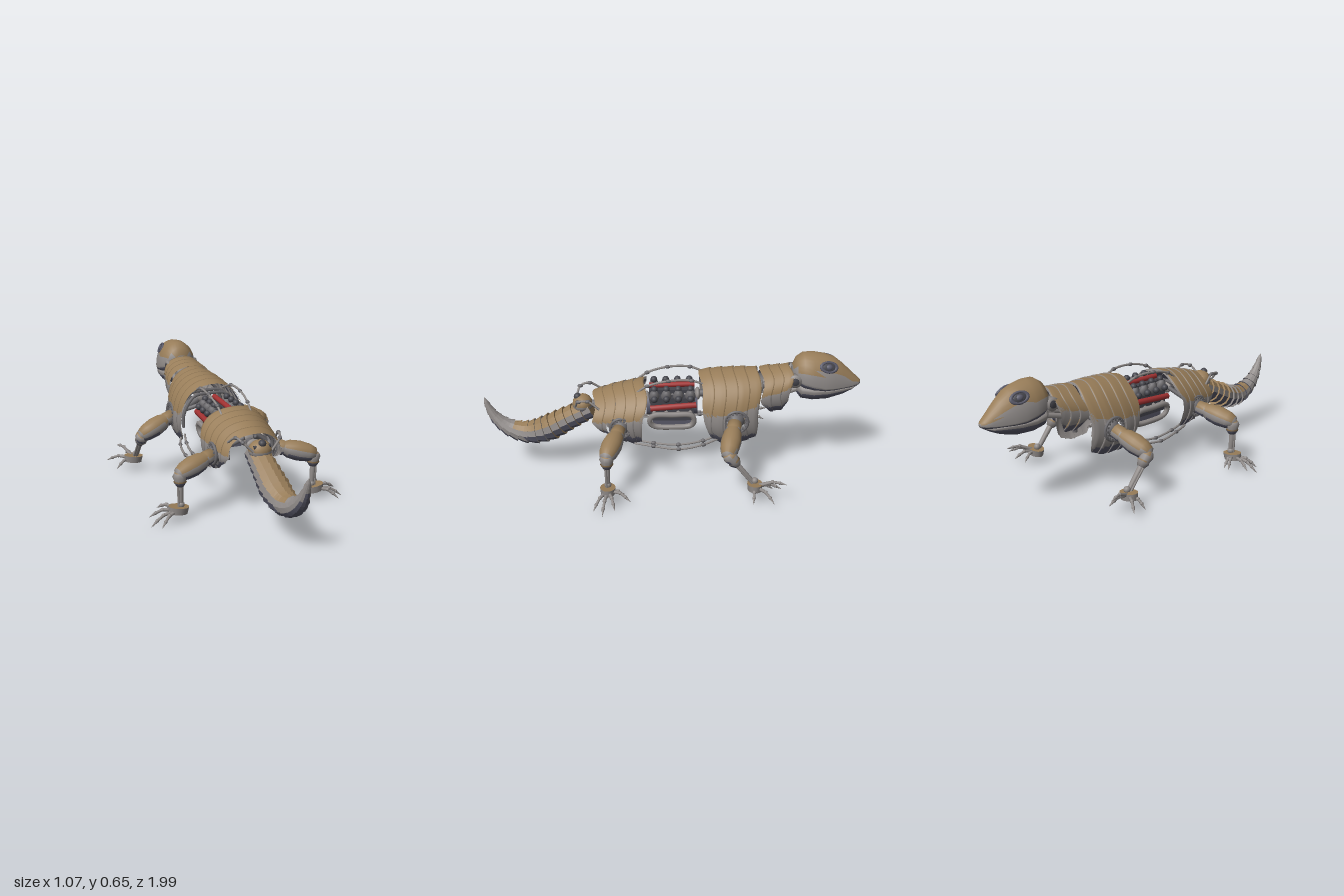
import * as THREE from 'three';
import { mergeGeometries } from 'three/addons/utils/BufferGeometryUtils.js';

const mat = (name, color, side = THREE.FrontSide) => {
  const m = new THREE.MeshStandardMaterial({ color, side });
  m.name = name;
  return m;
};
const V = (x, y, z) => new THREE.Vector3(x, y, z);

export function createModel() {
  const tan = mat('tan shell', 0x987d59);
  const grey = mat('grey metal', 0x908b89, THREE.DoubleSide);
  const slate = mat('slate underside', 0x5a5a6a);
  const dark = mat('dark metal', 0x45454c);
  const steel = mat('mid steel', 0x6c6a6d);
  const red = mat('red pipe', 0xa23232);
  const root = new THREE.Group();
  root.name = 'mechanicalLizard';

  const add = (parent, name, geo, material) => {
    const m = new THREE.Mesh(geo, material);
    m.name = name;
    parent.add(m);
    return m;
  };
  // Upward faces become tan, sides grey, undersides slate
  const addPainted = (parent, name, geo, limit = 0.15, under = -0.4) => {
    const g = geo.index ? geo.toNonIndexed() : geo;
    const p = g.attributes.position, n = g.attributes.normal;
    const pos = [[], [], []], nor = [[], [], []];
    const a = V(), b = V(), c = V();
    for (let i = 0; i < p.count; i += 3) {
      a.fromBufferAttribute(p, i); b.fromBufferAttribute(p, i + 1); c.fromBufferAttribute(p, i + 2);
      const y = b.sub(a).cross(c.sub(a)).normalize().y;
      const k = y > limit ? 0 : y > under ? 1 : 2;
      for (let j = i; j < i + 3; j++) {
        pos[k].push(p.getX(j), p.getY(j), p.getZ(j));
        nor[k].push(n.getX(j), n.getY(j), n.getZ(j));
      }
    }
    const out = new THREE.BufferGeometry();
    out.setAttribute('position', new THREE.Float32BufferAttribute(pos.flat(), 3));
    out.setAttribute('normal', new THREE.Float32BufferAttribute(nor.flat(), 3));
    let start = 0;
    pos.forEach((list, k) => {
      out.addGroup(start, list.length / 3, k);
      start += list.length / 3;
    });
    return add(parent, name, out, [tan, grey, slate]);
  };
  // Skin over rows of points, running towards the tail
  const skin = (rows, { closed = false, flip = false, skip = null, flat = false } = {}) => {
    const n = rows[0].length, pos = [], idx = [];
    rows.forEach(r => r.forEach(p => pos.push(p.x, p.y, p.z)));
    const tri = (a, b, c) => idx.push(a, flip ? c : b, flip ? b : c);
    for (let i = 0; i < rows.length - 1; i++) for (let j = 0; j < (closed ? n : n - 1); j++) {
      const k = (j + 1) % n;
      if (skip && skip(rows[i][j].clone().add(rows[i + 1][k]).multiplyScalar(0.5))) continue;
      tri(i * n + j, i * n + n + j, i * n + k);
      tri(i * n + k, i * n + n + j, i * n + n + k);
    }
    if (closed) [0, rows.length - 1].forEach(i => {
      const c = rows[i].reduce((s, p) => s.add(p), V()).divideScalar(n), m = pos.length / 3;
      pos.push(c.x, c.y, c.z);
      for (let j = 0; j < n; j++) {
        const k = (j + 1) % n;
        i ? tri(m, i * n + k, i * n + j) : tri(m, i * n + j, i * n + k);
      }
    });
    let g = new THREE.BufferGeometry();
    g.setAttribute('position', new THREE.Float32BufferAttribute(pos, 3));
    g.setIndex(idx);
    if (flat) g = g.toNonIndexed();
    g.computeVertexNormals();
    return g;
  };
  // Turned shape between two points, profile of [radius, fraction]
  const turned = (a, b, profile, seg = 12) => {
    const d = b.clone().sub(a), len = d.length();
    const g = new THREE.LatheGeometry(profile.map(([r, t]) => new THREE.Vector2(r, t * len)), seg);
    g.applyQuaternion(new THREE.Quaternion().setFromUnitVectors(V(0, 1, 0), d.normalize()));
    return g.translate(a.x, a.y, a.z);
  };
  const rod = (a, b, r, r2 = r, seg = 8) => turned(a, b, [[0, 0], [r, 0], [r2, 1], [0, 1]], seg);
  const ball = (p, r, sx = 1, sy = 1, sz = 1) => new THREE.SphereGeometry(r, 14, 10).scale(sx, sy, sz).translate(p.x, p.y, p.z);
  const tube = (pts, r, n = 24, closed = false) => new THREE.TubeGeometry(new THREE.CatmullRomCurve3(pts, closed), n, r, 6, closed);
  const box = (w, h, d, x, y, z) => new THREE.BoxGeometry(w, h, d).translate(x, y, z);
  const merged = (parent, name, list, m) => add(parent, name, mergeGeometries(list.map(g => g.index ? g.toNonIndexed() : g)), m);

  // Banded arched shells; rows: z, half width, centre height, rise, drop, end angle
  const shell = (name, rows, bands, hole) => {
    const group = new THREE.Group();
    group.name = name;
    root.add(group);
    const z0 = rows[0][0], z1 = rows[rows.length - 1][0];
    const at = z => {
      let i = 0;
      while (i < rows.length - 2 && z > rows[i + 1][0]) i++;
      const t = (z - rows[i][0]) / (rows[i + 1][0] - rows[i][0]);
      return rows[i].map((v, k) => v + (rows[i + 1][k] - v) * t);
    };
    const skip = hole && (p => Math.hypot(p.y - hole[0], p.z - hole[1]) < hole[2] && Math.abs(p.x) > 0.08);
    const outer = [], inner = [];
    for (let b = 0; b < bands; b++) for (const off of [0, -0.007]) {
      const grid = [];
      // The first row is a lip that closes the step between bands
      for (let i = -1; i <= 8; i++) {
        const t = Math.max(0, i / 8), z = z0 + (z1 - z0) * (b + t) / bands, [, w, c, h, d, A] = at(z), row = [];
        const o = off + (i < 0 ? -0.003 : 0.005 * (1 - t) - 0.001);
        for (let j = 0; j <= 64; j++) {
          const a = (j / 32 - 1) * A, ca = Math.cos(a);
          row.push(V((w + o) * Math.sin(a), c + ((ca > 0 ? h : d) + o) * ca, z + 0.009 * Math.cos(4 * a) - 0.004));
        }
        grid.push(row);
      }
      (off ? inner : outer).push(skin(grid, { flip: off < 0, skip }));
    }
    addPainted(group, name + 'Plates', mergeGeometries(outer), 0.18);
    addPainted(group, name + 'Lining', mergeGeometries(inner), 2);
  };
  shell('neckShell', [[-0.62, 0.112, 0.48, 0.1, 0.09, 1.5], [-0.6, 0.118, 0.475, 0.105, 0.11, 2],
    [-0.56, 0.126, 0.46, 0.115, 0.13, 2.4], [-0.5, 0.136, 0.45, 0.12, 0.125, 2.35], [-0.465, 0.142, 0.44, 0.125, 0.1, 1.75]], 3);
  shell('chestShell', [[-0.45, 0.15, 0.36, 0.205, 0.18, 1.8], [-0.43, 0.162, 0.35, 0.215, 0.19, 2.25],
    [-0.35, 0.182, 0.34, 0.225, 0.2, 2.35], [-0.24, 0.188, 0.335, 0.225, 0.2, 2.3],
    [-0.19, 0.185, 0.34, 0.215, 0.18, 2.1], [-0.145, 0.182, 0.36, 0.185, 0.15, 1.05]], 5, [0.34, -0.33, 0.06]);
  shell('hipShell', [[0.145, 0.187, 0.35, 0.15, 0.17, 1.2], [0.17, 0.187, 0.34, 0.16, 0.2, 2.2],
    [0.22, 0.183, 0.33, 0.16, 0.19, 2.3], [0.3, 0.173, 0.32, 0.155, 0.15, 2.2],
    [0.38, 0.157, 0.32, 0.13, 0.1, 1.9], [0.415, 0.147, 0.325, 0.115, 0.08, 1.5]], 5, [0.31, 0.29, 0.055]);

  // Head: z, half width, top, middle, bottom
  const ovals = (rows, n = 32) => rows.map(([z, w, top, mid, bot]) => Array.from({ length: n }, (_, j) => {
    const a = j / n * Math.PI * 2, c = Math.cos(a);
    return V(w * Math.sin(a), mid + (c > 0 ? top - mid : mid - bot) * c, z);
  }));
  addPainted(root, 'skull', skin(ovals([[-0.998, 0.012, 0.495, 0.485, 0.475], [-0.985, 0.03, 0.507, 0.483, 0.468],
    [-0.95, 0.047, 0.54, 0.48, 0.46], [-0.9, 0.067, 0.588, 0.48, 0.455], [-0.85, 0.086, 0.628, 0.482, 0.45],
    [-0.8, 0.1, 0.645, 0.488, 0.445], [-0.74, 0.105, 0.655, 0.505, 0.445], [-0.69, 0.1, 0.652, 0.52, 0.46],
    [-0.655, 0.08, 0.628, 0.53, 0.48], [-0.635, 0.045, 0.585, 0.54, 0.5]]), { closed: true }), 0.32, -0.25);
  addPainted(root, 'jaw', skin(ovals([[-0.985, 0.018, 0.478, 0.472, 0.466], [-0.95, 0.042, 0.48, 0.462, 0.445],
    [-0.9, 0.065, 0.48, 0.465, 0.42], [-0.82, 0.09, 0.48, 0.465, 0.398], [-0.74, 0.1, 0.5, 0.465, 0.395],
    [-0.68, 0.092, 0.51, 0.47, 0.405], [-0.655, 0.07, 0.51, 0.475, 0.44]]), { closed: true }), 2, -0.3);

  // Tail of stacked tapering collars, grey towards the tip
  const path = new THREE.CatmullRomCurve3([V(0, 0.35, 0.43), V(0, 0.29, 0.55), V(0, 0.225, 0.68), V(0, 0.208, 0.78),
    V(0, 0.235, 0.87), V(0, 0.29, 0.935), V(0, 0.355, 0.972), V(0, 0.415, 0.992)]);
  const tailR = t => t < 0.35 ? 0.056 + 0.05 * t : 0.0735 - 0.066 * Math.pow((t - 0.35) / 0.65, 1.35);
  const ring = (t, k) => {
    const p = path.getPointAt(t), T = path.getTangentAt(t), X = V(1, 0, 0), U = T.clone().cross(X);
    return Array.from({ length: 12 }, (_, j) => {
      const a = j / 6 * Math.PI, r = tailR(t) * k;
      return p.clone().addScaledVector(X, r * Math.sin(a)).addScaledVector(U, r * 0.92 * Math.cos(a));
    });
  };
  const collars = Array.from({ length: 15 }, (_, i) => skin([ring(i / 15, 1.11), ring((i + 0.5) / 15, 1.03),
    ring(Math.min(1, (i + 1.1) / 15), i > 13 ? 0.3 : 0.93)], { closed: true, flat: true }));
  addPainted(root, 'tailCollars', mergeGeometries(collars.slice(0, 10)), 0.4, -0.25);
  addPainted(root, 'tailTip', mergeGeometries(collars.slice(10)), 2, -0.2);
  addPainted(root, 'tailRootKnob', ball(V(0, 0.375, 0.475), 0.06, 1, 0.85, 0.9));
  merged(root, 'tailRootBolt', [ball(V(0, 0.415, 0.5), 0.02), rod(V(-0.045, 0.4, 0.5), V(0.045, 0.4, 0.5), 0.009)], dark);

  // Spine with vertebrae
  const spine = new THREE.CatmullRomCurve3([V(0, 0.37, 0.5), V(0, 0.38, 0.3), V(0, 0.41, 0.1), V(0, 0.43, -0.2), V(0, 0.46, -0.45), V(0, 0.52, -0.7)]);
  merged(root, 'spine', [new THREE.TubeGeometry(spine, 30, 0.02, 8)], steel);
  merged(root, 'vertebrae', Array.from({ length: 18 }, (_, i) => ball(spine.getPointAt((i + 0.5) / 18), 0.032, 1.3, 1, 0.5)), grey);

  // Engine block
  const engine = new THREE.Group();
  engine.name = 'engine';
  root.add(engine);
  merged(engine, 'block', [box(0.16, 0.13, 0.23, 0, 0.37, 0), box(0.06, 0.03, 0.24, 0, 0.445, 0)], dark);
  merged(engine, 'sump', [box(0.13, 0.06, 0.2, 0, 0.29, 0), rod(V(0, 0.37, -0.135), V(0, 0.37, 0.135), 0.06, 0.06, 16)], slate);
  const heads = [], caps = [], pipes = [], rails = [rod(V(0, 0.475, 0.12), V(0, 0.48, -0.12), 0.014, 0.014, 12)];
  for (const s of [-1, 1]) {
    rails.push(rod(V(s * 0.1, 0.388, 0.115), V(s * 0.1, 0.405, -0.125), 0.016));
    for (let i = 0; i < 4; i++) {
      const z = -0.095 + i * 0.063;
      heads.push(turned(V(s * 0.04, 0.4, z), V(s * 0.085, 0.475, z), [[0, 0], [0.026, 0], [0.028, 0.6], [0.018, 0.95], [0, 1]]));
      caps.push(ball(V(s * 0.062, 0.48, z), 0.018), ball(V(s * 0.1, 0.44, z), 0.018));
      pipes.push(rod(V(s * 0.07, 0.355, z), V(s * 0.1, 0.345, z), 0.012));
    }
    pipes.push(tube([V(s * 0.1, 0.345, -0.1), V(s * 0.103, 0.35, 0), V(s * 0.1, 0.345, 0.1), V(s * 0.095, 0.315, 0.12),
      V(s * 0.088, 0.28, 0.1), V(s * 0.088, 0.27, 0), V(s * 0.088, 0.28, -0.1), V(s * 0.095, 0.315, -0.115)], 0.015, 40, true));
  }
  merged(engine, 'cylinders', heads, steel);
  merged(engine, 'valveCaps', caps, dark);
  merged(engine, 'exhaustPipes', pipes, grey);
  merged(engine, 'redRails', rails, red);

  // Parts that repeat on both sides
  for (const s of [1, -1]) {
    const side = new THREE.Group();
    side.name = s > 0 ? 'leftSide' : 'rightSide';
    side.scale.x = s;
    root.add(side);

    // Eye set in an almond rim
    const tilt = g => g.rotateX(0.15).rotateY(Math.PI / 2 + 0.22).rotateZ(0.65).translate(0.065, 0.595, -0.815);
    add(side, 'eyeRim', tilt(new THREE.TorusGeometry(0.031, 0.008, 8, 20).scale(1.35, 0.85, 1)), slate);
    add(side, 'eyeSocket', tilt(new THREE.SphereGeometry(0.03, 16, 10).scale(1.3, 0.8, 0.3)), dark);
    add(side, 'eyeball', tilt(new THREE.SphereGeometry(0.019, 14, 10).scale(1.1, 0.9, 0.75)), slate);
    // Neck joint
    merged(side, 'neckJoint', [rod(V(0.055, 0.525, -0.64), V(0.09, 0.525, -0.64), 0.035, 0.035, 16),
      rod(V(0.06, 0.52, -0.64), V(0.08, 0.45, -0.5), 0.014), rod(V(0.03, 0.46, -0.66), V(0.05, 0.41, -0.48), 0.014)], grey);
    add(side, 'neckJointBolt', rod(V(0.088, 0.525, -0.64), V(0.096, 0.525, -0.64), 0.02, 0.02, 12), dark);

    // Cables with bead connectors
    const cables = [
      [V(0.08, 0.46, 0.2), V(0.085, 0.51, 0.13), V(0.09, 0.54, 0.02), V(0.088, 0.54, -0.1), V(0.08, 0.5, -0.2)],
      [V(0.15, 0.21, 0.2), V(0.185, 0.21, 0.1), V(0.203, 0.2, -0.03), V(0.185, 0.215, -0.16), V(0.15, 0.23, -0.24)],
      [V(0.13, 0.22, 0.2), V(0.15, 0.21, 0.1), V(0.163, 0.205, -0.03), V(0.15, 0.22, -0.16), V(0.13, 0.24, -0.24)],
      [V(0.13, 0.4, 0.38), V(0.115, 0.44, 0.44), V(0.1, 0.43, 0.49), V(0.05, 0.38, 0.51)]];
    merged(side, 'cables', cables.map(c => tube(c, 0.006)), grey);
    merged(side, 'cableBeads', cables.flatMap(c => c.slice(1, -1).map(p => ball(p, 0.01, 1, 1, 1.5))), steel);

    // Limbs: joint, knee, foot and toe tips
    const limbs = [
      { name: 'front', hip: V(0.15, 0.34, -0.33), knee: V(0.365, 0.255, -0.275), foot: V(0.365, 0.08, -0.415),
        tips: [V(0.35, 0.04, -0.51), V(0.385, 0.06, -0.55), V(0.43, 0.11, -0.57), V(0.512, 0.05, -0.5), V(0.48, 0.03, -0.4)] },
      { name: 'rear', hip: V(0.15, 0.31, 0.27), knee: V(0.37, 0.255, 0.34), foot: V(0.365, 0.07, 0.338),
        tips: [V(0.41, 0.03, 0.24), V(0.455, 0.04, 0.222), V(0.52, 0.03, 0.3), V(0.532, 0.004, 0.365), V(0.49, 0.01, 0.41)] }];
    for (const { name, hip, knee, foot, tips } of limbs) {
      const leg = new THREE.Group();
      leg.name = name + 'Leg';
      side.add(leg);
      addPainted(leg, 'thigh', turned(hip, knee, [[0, 0.08], [0.036, 0.1], [0.04, 0.3], [0.036, 0.32], [0.047, 0.42], [0.053, 0.65],
        [0.047, 0.88], [0.034, 1.03], [0, 1.1]], 20), 0.25);
      const drop = knee.clone().lerp(foot, 0.35);
      addPainted(leg, 'kneeGuard', turned(drop, knee, [[0, 0], [0.02, 0], [0.034, 0.35], [0.03, 0.45], [0.038, 0.8], [0.028, 1.1], [0, 1.2]], 10), 0.45);
      merged(leg, 'shin', [rod(foot, drop, 0.012, 0.015, 10), rod(foot.clone().add(V(0.014, 0, 0.006)), drop.clone().add(V(0.014, 0, 0.006)), 0.006),
        ball(foot.clone().add(V(0, 0.02, 0)), 0.018)], grey);
      // Foot pad and clawed toes
      const pad = foot.clone().add(V(0.014, -0.006, 0));
      addPainted(leg, 'footPad', new THREE.CylinderGeometry(0.042, 0.038, 0.036, 12).scale(1.3, 1, 0.95).rotateZ(0.12).translate(pad.x, pad.y, pad.z), 0.5);
      merged(leg, 'toes', tips.flatMap(t => {
        const k1 = pad.clone().lerp(t, 0.55).add(V(0, 0.022, 0)), k2 = pad.clone().lerp(t, 0.78).add(V(0, 0.014, 0));
        return [rod(pad, k1, 0.011, 0.008), ball(k1, 0.01), rod(k1, k2, 0.007, 0.007), ball(k2, 0.009), rod(k2, t, 0.008, 0.001)];
      }), grey);
      // Socket ring with teeth, and girdle inside the shell
      const ringX = name === 'front' ? 0.178 : 0.17, R = name === 'front' ? 0.06 : 0.054;
      const parts = [new THREE.TorusGeometry(R, 0.008, 8, 28).rotateY(Math.PI / 2).translate(ringX, hip.y, hip.z)];
      for (let i = 0; i < 16; i++) {
        const a = i / 8 * Math.PI;
        parts.push(box(0.022, 0.01, 0.01, ringX, hip.y + (R - 0.008) * Math.cos(a), hip.z + (R - 0.008) * Math.sin(a)));
      }
      merged(leg, 'socketRing', parts, steel);
      merged(leg, 'girdle', [ball(hip, 0.045), rod(V(0, 0.42, hip.z), hip, 0.025), rod(V(0.03, 0.4, hip.z - 0.08), hip, 0.012),
        rod(V(0.03, 0.4, hip.z + 0.08), hip, 0.012), rod(hip, V(0.14, 0.23, hip.z), 0.014)], steel);
    }
    // Ribs under the shells
    merged(side, 'ribs', [-0.4, -0.25, -0.19, 0.2, 0.36].map(z => {
      const k = z > 0.3 ? 0.78 : 1, h = z > 0 ? 0.45 : 0.5;
      return tube([V(0, h - 0.02, z), V(0.09 * k, h - 0.03, z), V(0.15 * k, 0.38, z), V(0.155 * k, 0.3, z)], 0.009, 14);
    }), steel);
  }
  return root;
}
